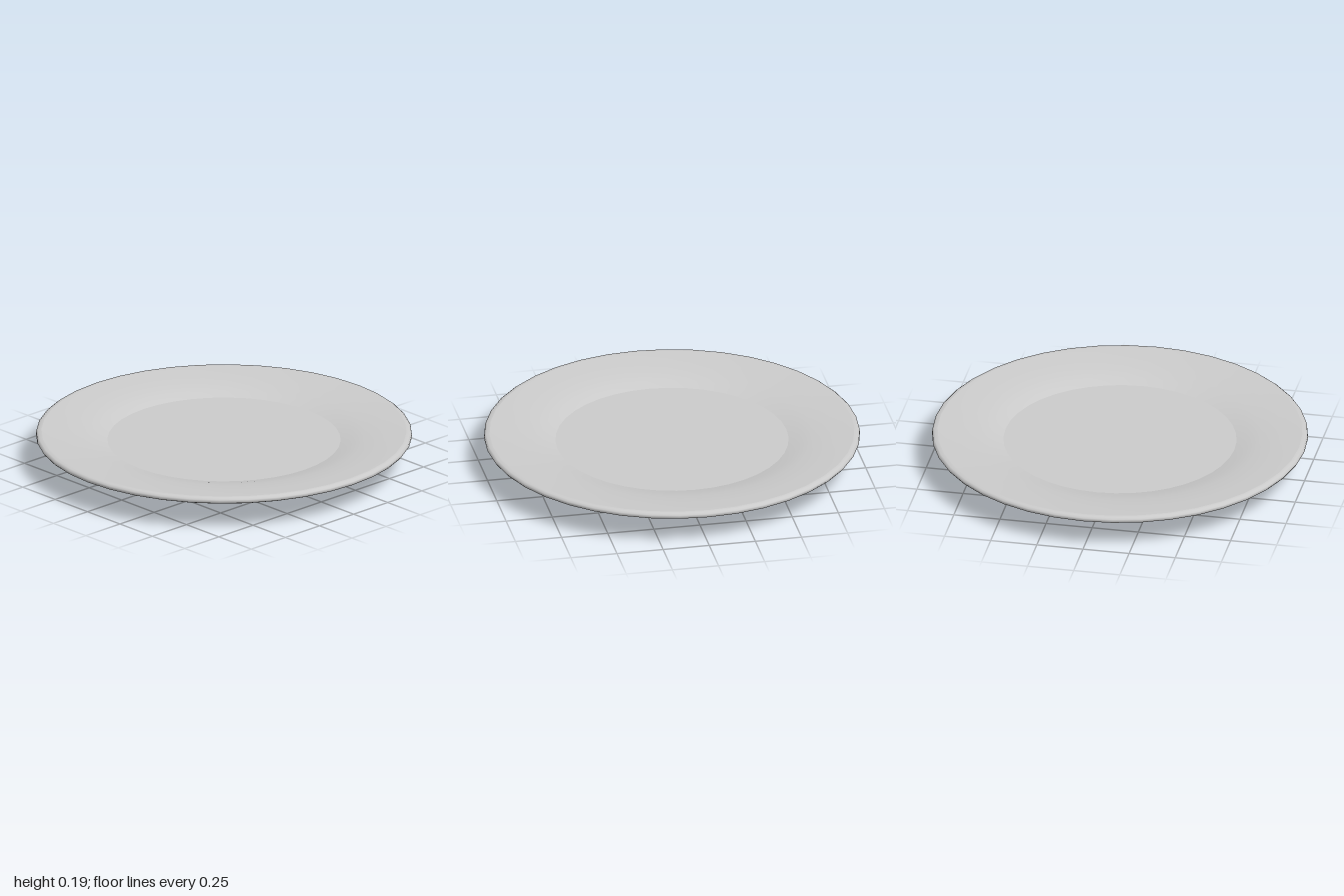
import * as THREE from 'three';

const SIDES = 40;

// Profiles are [radius, height], running from under the plate, round the rim, to the centre.
const PROFILES = {
  base: [[0, 0], [0.555, 0]],
  underside: [[0.555, 0], [0.77, 0.08], [0.975, 0.156]],
  rim: [[0.975, 0.156], [0.993, 0.164], [1, 0.174], [0.998, 0.185], [0.988, 0.193], [0.97, 0.195]],
  slope: [[0.97, 0.195], [0.86, 0.188], [0.75, 0.176], [0.68, 0.162], [0.62, 0.146]],
  well: [[0.62, 0.146], [0.3, 0.145], [0, 0.145]],
};

export function createModel() {
  const plate = new THREE.Group();
  plate.name = 'plate';
  const material = new THREE.MeshStandardMaterial({ color: 0xcccccc });

  // Each band is turned separately, so the edges between bands stay crisp.
  for (const [name, profile] of Object.entries(PROFILES)) {
    const points = profile.map(([r, y]) => new THREE.Vector2(r, y));
    const band = new THREE.Mesh(new THREE.LatheGeometry(points, SIDES), material);
    band.name = name;
    plate.add(band);
  }
  return plate;
}
